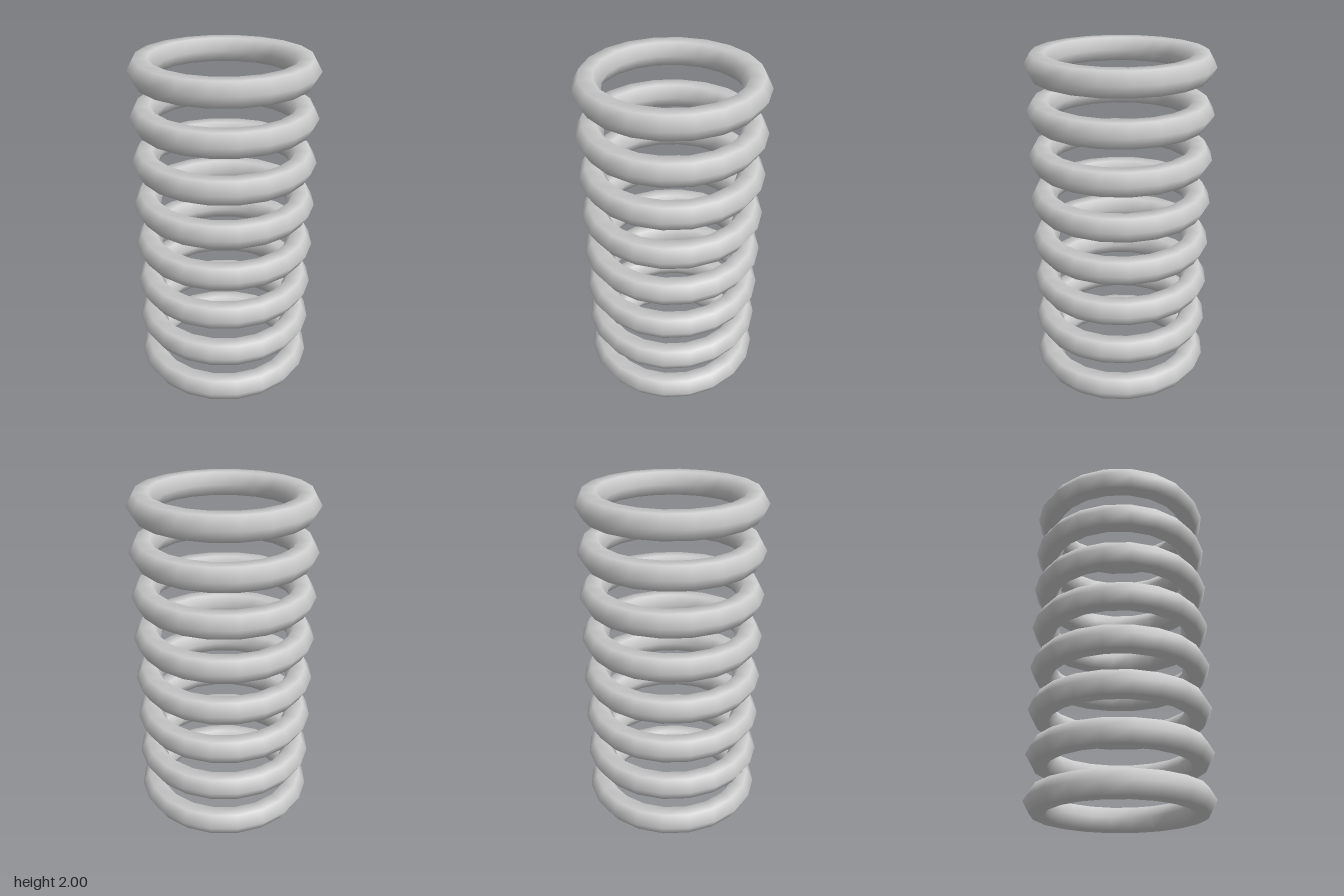
import * as THREE from 'three';

const RINGS = 8;
const RING_RADIUS = 0.459;
const TUBE_RADIUS = 0.08;

export function createModel() {
  const group = new THREE.Group();
  group.name = 'ringStack';
  const material = new THREE.MeshStandardMaterial({ color: 0xcccccc });

  // Six-sided tube bent into a twenty-segment ring, lying flat
  const ringGeometry = new THREE.TorusGeometry(RING_RADIUS, TUBE_RADIUS, 6, 20);
  ringGeometry.rotateX(-Math.PI / 2);

  // Evenly spaced rings; the hexagonal tube rests on its flat side
  const halfHeight = TUBE_RADIUS * Math.sin(Math.PI / 3);
  const spacing = (2 - 2 * halfHeight) / (RINGS - 1);
  for (let i = 0; i < RINGS; i++) {
    const ring = new THREE.Mesh(ringGeometry, material);
    ring.name = `ring${i + 1}`;
    ring.position.y = halfHeight + i * spacing;
    group.add(ring);
  }
  return group;
}
